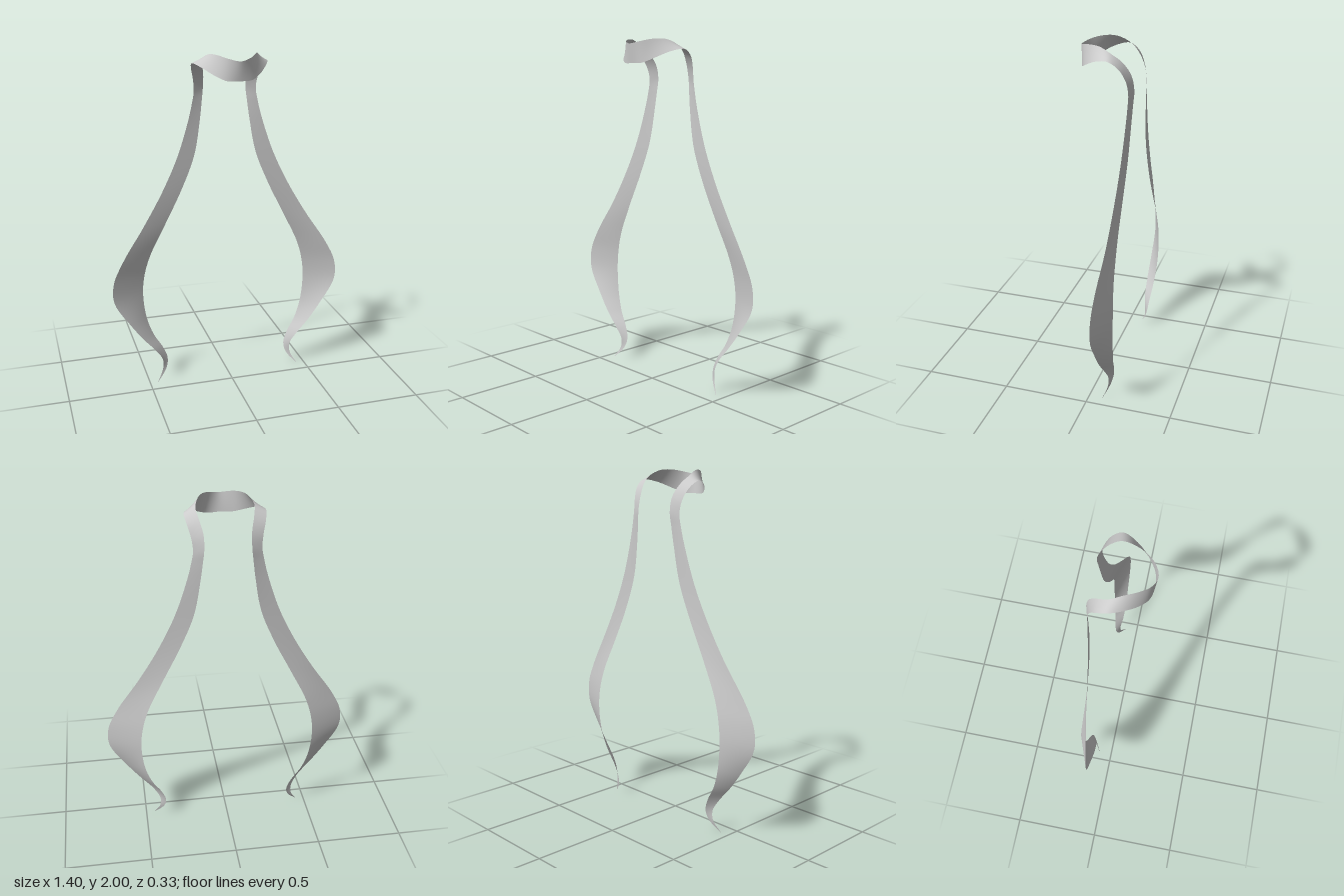
import * as THREE from 'three';

// Matching stations along the two edges of the left half of the stole [x, y, z],
// from the middle of the collar over the shoulder and down to the pointed tip.
const neckEdge = [
  [0, 1.973, 0.166], [0.06, 1.985, 0.142], [0.105, 1.998, 0.085], [0.135, 1.997, 0.02],
  [0.155, 1.97, -0.045], [0.145, 1.93, -0.1], [0.127, 1.86, -0.147], [0.126, 1.78, -0.165],
  [0.135, 1.7, -0.162], [0.148, 1.6, -0.157], [0.185, 1.4, -0.15], [0.265, 1.2, -0.146],
  [0.365, 1.0, -0.147], [0.463, 0.8, -0.156], [0.5, 0.67, -0.163], [0.51, 0.55, -0.165],
  [0.493, 0.4, -0.16], [0.455, 0.29, -0.15], [0.402, 0.2, -0.14], [0.378, 0.13, -0.131],
  [0.39, 0.07, -0.115], [0.45, 0, -0.08],
];
const outerEdge = [
  [0, 1.866, 0.154], [0.07, 1.868, 0.142], [0.13, 1.895, 0.1], [0.185, 1.93, 0.03],
  [0.217, 1.942, -0.045], [0.208, 1.905, -0.1], [0.19, 1.84, -0.135], [0.183, 1.77, -0.148],
  [0.195, 1.7, -0.148], [0.22, 1.6, -0.145], [0.287, 1.4, -0.138], [0.382, 1.2, -0.13],
  [0.5, 1.0, -0.12], [0.632, 0.8, -0.102], [0.692, 0.67, -0.096], [0.693, 0.55, -0.094],
  [0.605, 0.4, -0.092], [0.525, 0.29, -0.091], [0.45, 0.2, -0.096], [0.411, 0.13, -0.108],
  [0.414, 0.07, -0.106], [0.452, 0, -0.08],
];

// Mirrors a half edge into one smooth curve running from the right tip to the left tip
function fullEdge(half) {
  const left = half.map((p) => new THREE.Vector3(...p));
  const right = half.slice(1).reverse().map(([x, y, z]) => new THREE.Vector3(-x, y, z));
  return new THREE.CatmullRomCurve3([...right, ...left], false, 'centripetal');
}

// Skins a strip between two edge curves sampled at the same stations
function ribbonGeometry(lower, upper, along, across) {
  const positions = [];
  const index = [];
  for (let i = 0; i <= along; i++) {
    const a = lower.getPoint(i / along);
    const b = upper.getPoint(i / along);
    for (let j = 0; j <= across; j++) {
      positions.push(...a.clone().lerp(b, j / across).toArray());
      if (i < along && j < across) {
        const k = i * (across + 1) + j;
        const n = k + across + 1;
        index.push(k, n, k + 1, n, n + 1, k + 1);
      }
    }
  }
  const geometry = new THREE.BufferGeometry();
  geometry.setAttribute('position', new THREE.Float32BufferAttribute(positions, 3));
  geometry.setIndex(index);
  geometry.computeVertexNormals();
  return geometry;
}

export function createModel() {
  const group = new THREE.Group();
  group.name = 'stole';
  const cloth = new THREE.MeshStandardMaterial({ color: 0xcccccc, side: THREE.DoubleSide });

  // One continuous band: collar, shoulders and both hanging tails
  const band = new THREE.Mesh(ribbonGeometry(fullEdge(outerEdge), fullEdge(neckEdge), 252, 8), cloth);
  band.name = 'clothBand';
  group.add(band);
  return group;
}
